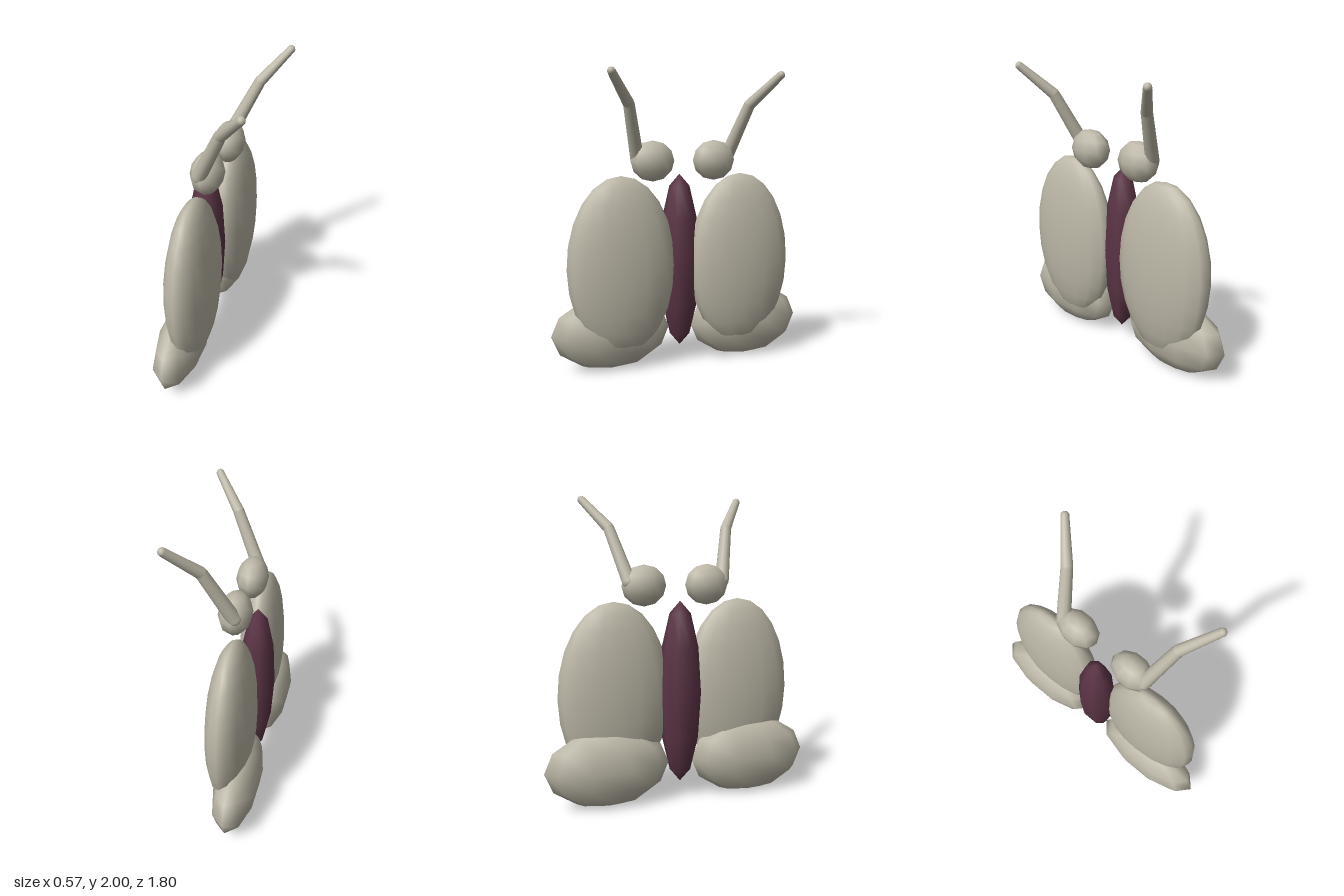
import * as THREE from 'three';

const shell = new THREE.MeshStandardMaterial({ color: 0xbcb7a7 });
shell.name = 'warm grey';
const plum = new THREE.MeshStandardMaterial({ color: 0x5b3445 });
plum.name = 'dark plum';

// Ellipsoid with poles up and down; turn rotates its segments before scaling
function ellipsoid(name, material, center, radii, segments, rings, turn = Math.PI / 2) {
  const geometry = new THREE.SphereGeometry(1, segments, rings);
  geometry.rotateY(turn);
  geometry.scale(...radii);
  const mesh = new THREE.Mesh(geometry, material);
  mesh.name = name;
  mesh.position.set(...center);
  return mesh;
}

// Tapered rod through points, with round joints
function rod(name, material, points, radii) {
  const group = new THREE.Group();
  group.name = name;
  points.forEach((p, i) => {
    const joint = new THREE.Mesh(new THREE.SphereGeometry(radii[i], 12, 8), material);
    joint.name = name + 'Joint';
    joint.position.copy(p);
    group.add(joint);
    if (i === 0) return;
    const dir = p.clone().sub(points[i - 1]);
    const segment = new THREE.Mesh(
      new THREE.CylinderGeometry(radii[i], radii[i - 1], dir.length(), 12, 1, true), material);
    segment.name = name + 'Segment';
    segment.position.copy(p).add(points[i - 1]).multiplyScalar(0.5);
    segment.quaternion.setFromUnitVectors(new THREE.Vector3(0, 1, 0), dir.normalize());
    group.add(segment);
  });
  return group;
}

export function createModel() {
  const model = new THREE.Group();
  model.name = 'butterfly';

  // Slender faceted body
  model.add(ellipsoid('body', plum, [-0.143, 0.725, 0], [0.125, 0.605, 0.14], 8, 6, Math.PI / 8));

  // Wings, eyes and antennae on both sides
  for (const s of [1, -1]) {
    const side = s > 0 ? 'front' : 'back';
    model.add(ellipsoid(side + 'UpperWing', shell, [-0.083, 0.72, s * 0.424], [0.147, 0.61, 0.37], 16, 12));
    model.add(ellipsoid(side + 'LowerWing', shell, [-0.145, 0.263, s * 0.49], [0.147, 0.258, 0.41], 10, 6));
    model.add(ellipsoid(side + 'Eye', shell, [-0.052, 1.425, s * 0.215], [0.105, 0.135, 0.15], 10, 6));
    model.add(rod(side + 'Antenna', shell, [
      new THREE.Vector3(-0.07, 1.45, s * 0.317),
      new THREE.Vector3(0.095, 1.79, s * 0.408),
      new THREE.Vector3(0.258, 1.975, s * 0.552),
    ], [0.046, 0.037, 0.026]));
  }
  return model;
}
